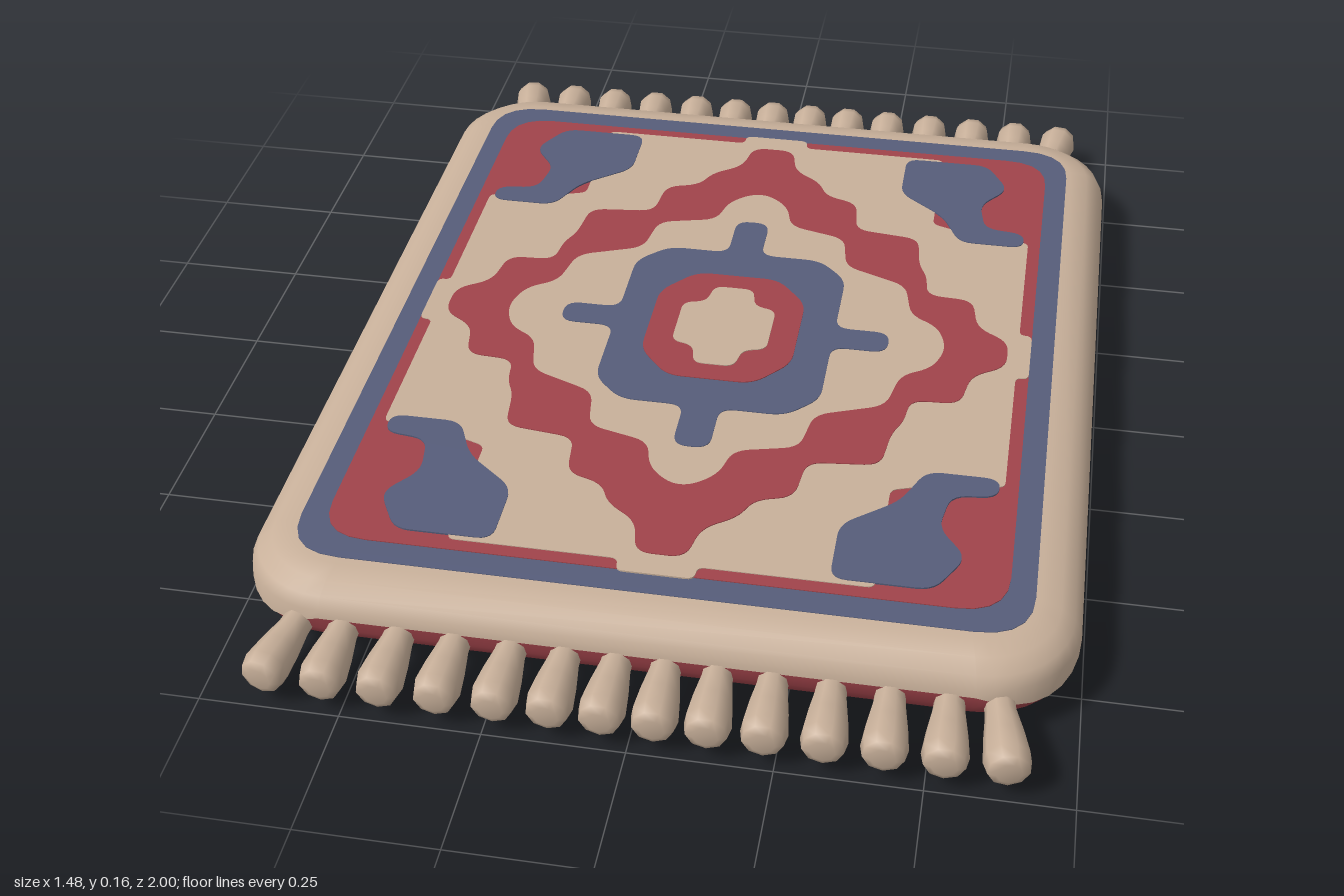
import * as THREE from 'three';

const mat = (name, color) => Object.assign(new THREE.MeshStandardMaterial({ color }), { name });

// Closed path with each corner softened by radius r
function softPath(pts, r, path = new THREE.Shape()) {
  const n = pts.length;
  const v = pts.map(p => new THREE.Vector2(p[0], p[1]));
  for (let i = 0; i < n; i++) {
    const p = v[i], a = v[(i + n - 1) % n], b = v[(i + 1) % n];
    const from = p.clone().lerp(a, Math.min(0.48, r / p.distanceTo(a)));
    const to = p.clone().lerp(b, Math.min(0.48, r / p.distanceTo(b)));
    if (i === 0) path.moveTo(from.x, from.y); else path.lineTo(from.x, from.y);
    path.quadraticCurveTo(p.x, p.y, to.x, to.y);
  }
  path.closePath();
  return path;
}

// Mirror a quarter outline (running from the z axis to the x axis) to all four quadrants
function mirror4(q) {
  const back = [...q].reverse();
  const pts = [...q, ...back.map(([x, z]) => [x, -z]), ...q.map(([x, z]) => [-x, -z]), ...back.map(([x, z]) => [-x, z])];
  return pts.filter((p, i) => {
    const o = pts[(i + 1) % pts.length];
    return Math.hypot(p[0] - o[0], p[1] - o[1]) > 1e-4;
  });
}

const scaled = (pts, s) => pts.map(([x, z]) => [x * s, z * s]);
const rect = (w, d) => [[w, d], [w, -d], [-w, -d], [-w, d]];

// Pattern outlines
const FIELD = mirror4([[0.07, 0.73], [0.07, 0.70], [0.38, 0.70], [0.38, 0.44], [0.5, 0.40], [0.585, 0.40], [0.585, 0.07], [0.61, 0.07]]);
const CORNER = [[0.30, 0.69], [0.30, 0.55], [0.40, 0.47], [0.44, 0.38], [0.575, 0.38], [0.575, 0.43], [0.49, 0.44],
  [0.475, 0.53], [0.53, 0.60], [0.48, 0.69]];
const LATTICE = mirror4([[0.045, 0.68], [0.06, 0.60], [0.12, 0.56], [0.14, 0.51], [0.21, 0.49], [0.22, 0.39], [0.355, 0.375],
  [0.365, 0.28], [0.385, 0.24], [0.39, 0.175], [0.485, 0.17], [0.50, 0.08], [0.565, 0.04]]);
const LATTICE_HOLE = mirror4([[0.02, 0.49], [0.065, 0.45], [0.08, 0.38], [0.20, 0.35], [0.215, 0.25], [0.28, 0.225],
  [0.345, 0.20], [0.365, 0.10], [0.42, 0.07], [0.44, 0.02]]);
const MEDALLION = mirror4([[0.035, 0.38], [0.035, 0.26], [0.16, 0.26], [0.22, 0.20], [0.22, 0.032], [0.33, 0.032]]);
const OCTAGON = mirror4([[0.085, 0.175], [0.15, 0.10]]);
const CROSS = mirror4([[0.04, 0.13], [0.05, 0.075], [0.095, 0.065]]);

// Rounded-rectangle ring shrunk by an inset; returns [x, z, cornerAmount]
function ring(inset) {
  const W = 0.74, D = 0.865, R = 0.17, seg = 8, out = [];
  const r = Math.max(0.07, R - inset * 0.8);
  for (let q = 0; q < 4; q++) {
    const sx = q === 0 || q === 3 ? 1 : -1, sz = q < 2 ? 1 : -1;
    for (let i = 0; i <= seg; i++) {
      const a = (q + i / seg) * Math.PI / 2;
      out.push([sx * (W - inset - r) + Math.cos(a) * r, sz * (D - inset - r) + Math.sin(a) * r, Math.sin(i / seg * Math.PI)]);
    }
  }
  return out;
}

// Skin through rings given as [inset, y, scale, drop at corners]
function skin(profile) {
  const pos = [], idx = [];
  let n = 0;
  for (const [inset, y, s = 1, drop = 0] of profile) {
    const pts = ring(inset);
    n = pts.length;
    for (const [x, z, c] of pts) pos.push(x * s, y - drop * c, z * s);
  }
  for (let j = 0; j < profile.length - 1; j++) {
    for (let i = 0; i < n; i++) {
      const k = (i + 1) % n, a = j * n + i, b = j * n + k;
      idx.push(a, a + n, b, b, a + n, b + n);
    }
  }
  const g = new THREE.BufferGeometry();
  g.setAttribute('position', new THREE.Float32BufferAttribute(pos, 3));
  g.setIndex(idx);
  g.computeVertexNormals();
  return g;
}

export function createModel() {
  const cream = mat('cream wool', 0xc8b09a);
  const red = mat('red wool', 0xa0434a);
  const blue = mat('blue wool', 0x565d7a);
  const model = new THREE.Group();
  model.name = 'rug';
  const add = (parent, name, geo, material) => {
    const m = new THREE.Mesh(geo, material);
    m.name = name;
    parent.add(m);
    return m;
  };

  // Padded body: cream upper half and red underside
  add(model, 'upperBody', skin([[0, 0.09, 1, 0.025], [0.003, 0.105], [0.015, 0.128], [0.04, 0.146], [0.075, 0.154],
    [0.12, 0.155], [0.12, 0.155, 0]]), cream);
  add(model, 'underside', skin([[0.15, 0.009, 0], [0.15, 0.009], [0.09, 0.013], [0.045, 0.023], [0.015, 0.042],
    [0.003, 0.065], [0, 0.09, 1, 0.025]]), red);

  // Woven pattern as thin stacked plates, one set for each face
  const makePattern = (name, y, up, step, fieldScale, latticeScale) => {
    const group = new THREE.Group();
    group.name = name;
    group.position.y = y;
    group.rotation.x = up ? -Math.PI / 2 : Math.PI / 2;
    const plate = (part, pts, r, layer, material, hole) => {
      const shape = softPath(pts, r);
      if (hole) shape.holes.push(softPath(hole, 0.03, new THREE.Path()));
      add(group, part, new THREE.ExtrudeGeometry(shape, { depth: layer * step, bevelEnabled: false, curveSegments: 5 }), material);
    };
    if (up) {
      plate('outerBorder', rect(0.655, 0.775), 0.10, 1, blue);
      plate('innerBorder', rect(0.61, 0.725), 0.09, 2, red);
    }
    plate('field', scaled(FIELD, fieldScale), 0.015, 3, cream);
    for (const sx of [1, -1]) for (const sz of [1, -1]) {
      plate('cornerPatch', scaled(CORNER.map(([x, z]) => [x * sx, z * sz]), fieldScale), 0.03, 4, blue);
    }
    plate('lattice', scaled(LATTICE, latticeScale), 0.03, 4, red, LATTICE_HOLE);
    plate('medallion', MEDALLION, 0.03, 4, blue);
    plate('medallionRing', OCTAGON, 0.03, 5, red);
    plate('centreCross', CROSS, 0.02, 6, cream);
    model.add(group);
  };
  makePattern('topPattern', 0.154, true, 0.0016, 1, 1);
  makePattern('bottomPattern', 0.009, false, 0.0015, 0.94, 0.98);

  // Tassel fringe on both short ends
  const profile = [[0.026, 0], [0.028, 0.05], [0.036, 0.10], [0.041, 0.145], [0.036, 0.168], [0.022, 0.175], [0, 0.175]];
  const tassel = new THREE.LatheGeometry(profile.map(p => new THREE.Vector2(...p)), 9);
  tassel.rotateX(Math.PI / 2);
  const xs = [0.045, 0.135, 0.23, 0.33, 0.43, 0.53, 0.632];
  for (const [name, turn] of [['frontFringe', 0], ['backFringe', Math.PI]]) {
    const fringe = new THREE.Group();
    fringe.name = name;
    fringe.rotation.y = turn;
    for (const side of [1, -1]) xs.forEach((x, i) => {
      const t = add(fringe, 'tassel', tassel, cream);
      const splay = i === 6 ? 0.17 : 0.02;
      t.position.set(side * (x - splay * 0.15), 0.068, 0.825);
      t.rotation.set(0.03, side * splay, 0);
    });
    model.add(fringe);
  }
  return model;
}
